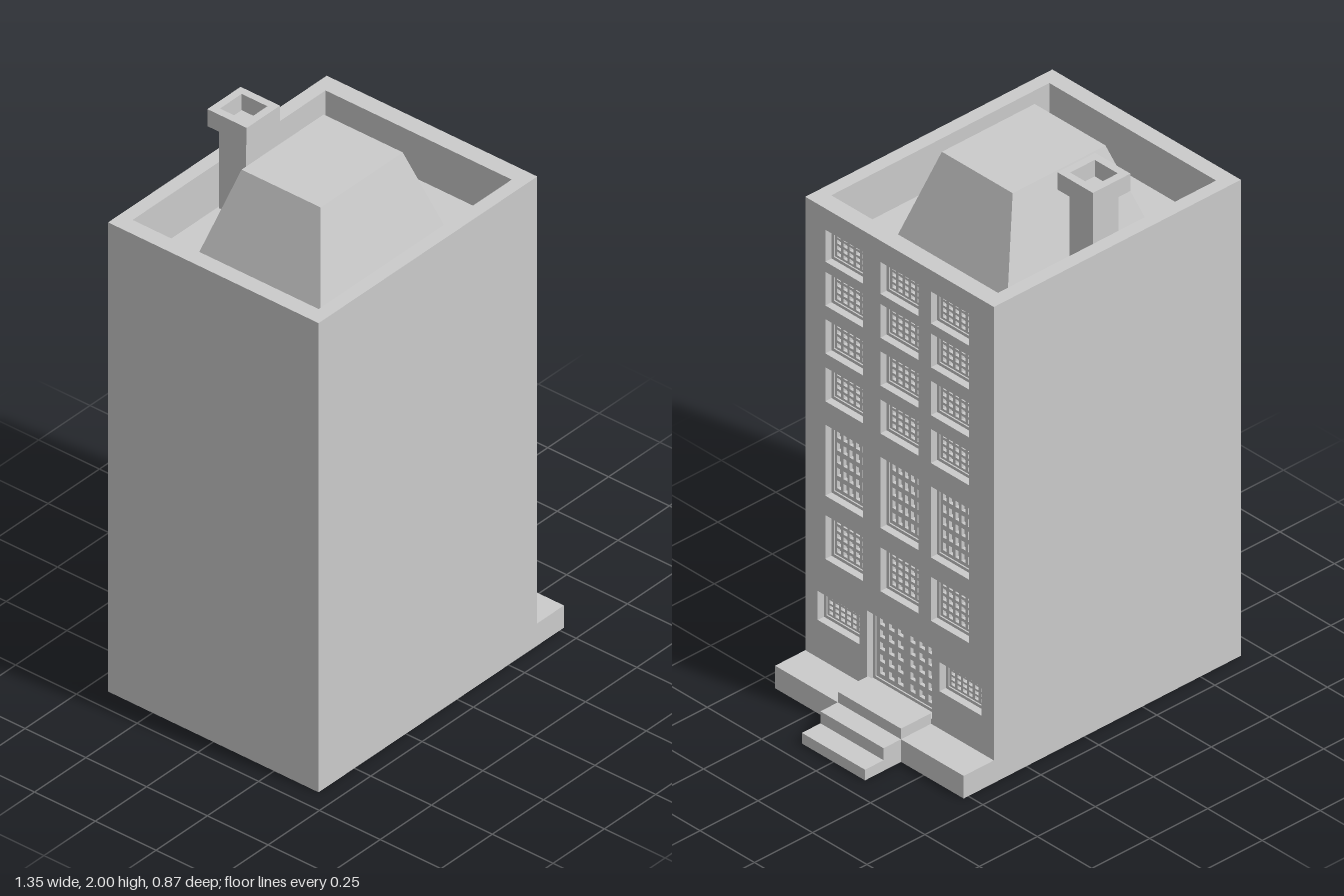
import * as THREE from 'three';

const material = new THREE.MeshStandardMaterial({ color: 0xcccccc, flatShading: true });

function add(parent, name, geometry) {
  const mesh = new THREE.Mesh(geometry, material);
  mesh.name = name;
  parent.add(mesh);
  return mesh;
}

// Box given by its minimum and maximum along each axis
function block(parent, name, [x0, x1], [y0, y1], [z0, z1]) {
  const g = new THREE.BoxGeometry(x1 - x0, y1 - y0, z1 - z0);
  g.translate((x0 + x1) / 2, (y0 + y1) / 2, (z0 + z1) / 2);
  return add(parent, name, g);
}

function rect(PathType, u0, u1, v0, v1) {
  return new PathType([[u0, v0], [u1, v0], [u1, v1], [u0, v1]].map(p => new THREE.Vector2(...p)));
}

// Rectangle with rectangular holes, each rectangle being [u0, u1, v0, v1]
function pierced(outer, holes, depth) {
  const shape = rect(THREE.Shape, ...outer);
  shape.holes = holes.map(h => rect(THREE.Path, ...h));
  return new THREE.ExtrudeGeometry(shape, { depth, bevelEnabled: false });
}

// Upright panel facing +x (u runs towards -z)
const facing = (outer, holes, depth, x) => pierced(outer, holes, depth).rotateY(Math.PI / 2).translate(x, 0, 0);
// Level ring lying on height y (u is x, v is z)
const level = (outer, holes, depth, y) => pierced(outer, holes, depth).rotateX(Math.PI / 2).translate(0, y + depth, 0);

const inset = ([a, b, c, d], t) => [a + t, b - t, c + t, d - t];

// Evenly spaced panes inside a rectangle
function panes([u0, u1, v0, v1], cols, rows, fill) {
  const list = [], w = (u1 - u0) / cols, h = (v1 - v0) / rows;
  for (let i = 0; i < cols; i++) {
    for (let j = 0; j < rows; j++) {
      const u = u0 + (i + 0.5) * w, v = v0 + (j + 0.5) * h;
      list.push([u - w * fill / 2, u + w * fill / 2, v - h * fill / 2, v + h * fill / 2]);
    }
  }
  return list;
}

export function createModel() {
  const model = new THREE.Group();
  model.name = 'townhouse';
  const left = -0.675, right = 0.39, half = 0.433, top = 1.79, deck = 1.62, back = 0.345;

  // Solid body and parapet around the sunken roof deck
  block(model, 'body', [left, back], [0, deck], [-half, half]);
  add(model, 'parapet', level([left, back, -half, half], [[-0.615, 0.325, -0.383, 0.383]], top - deck, deck));

  // Window openings: floors by columns, then the basement pair
  const openings = [];
  const floors = [[1.59, 1.71, 4], [1.425, 1.552, 4], [1.245, 1.374, 4], [1.065, 1.193, 4], [0.71, 0.977, 5], [0.472, 0.637, 5]];
  for (const [y0, y1, rows] of floors) {
    for (const u of [-0.254, -0.001, 0.231]) {
      openings.push({ area: [u - 0.087, u + 0.087, y0, y1], cols: 5, rows });
    }
  }
  for (const s of [-1, 1]) openings.push({ area: [s * 0.28 - 0.096, s * 0.28 + 0.096, 0.226, 0.335], cols: 6, rows: 4 });
  const doorArea = [-0.15, 0.15, 0.105, 0.37];

  // Facade with recessed openings
  const holes = [...openings.map(o => o.area), doorArea];
  add(model, 'facade', facing([-half, half, 0, top], holes, right - back, back));

  // Windows: rim plus pane lattice
  const windows = new THREE.Group();
  windows.name = 'windows';
  model.add(windows);
  for (const { area, cols, rows } of openings) {
    const inner = inset(area, 0.011);
    add(windows, 'windowRim', facing(area, [inner], 0.018, back));
    add(windows, 'windowLattice', facing(inner, panes(inset(inner, 0.004), cols, rows, 0.62), 0.013, back));
  }

  // Double door: rim and two latticed leaves
  const door = new THREE.Group();
  door.name = 'door';
  model.add(door);
  const doorInner = inset(doorArea, 0.011);
  add(door, 'doorRim', facing(doorArea, [doorInner], 0.018, back));
  for (const s of [-1, 1]) {
    const leaf = s < 0 ? [doorInner[0], -0.001, doorInner[2], doorInner[3]] : [0.001, doorInner[1], doorInner[2], doorInner[3]];
    add(door, 'doorLeaf', facing(leaf, panes(inset(leaf, 0.006), 3, 5, 0.58), 0.013, back));
  }

  // Terrace and entrance steps
  const stepZ = [-0.145, 0.145];
  block(model, 'terrace', [right, 0.52], [0, 0.085], [-half, half]);
  block(model, 'topStep', [right, 0.52], [0.085, 0.125], stepZ);
  block(model, 'middleStep', [0.52, 0.595], [0.04, 0.085], stepZ);
  block(model, 'bottomStep', [0.52, 0.675], [0, 0.04], stepZ);

  // Truncated hipped roof: the top corners are drawn inwards
  const hip = new THREE.BoxGeometry(0.62, 1.938 - deck, 0.51);
  const p = hip.attributes.position;
  for (let i = 0; i < p.count; i++) {
    if (p.getY(i) > 0) p.setXYZ(i, p.getX(i) * 0.4 / 0.62, p.getY(i), p.getZ(i) * 0.325 / 0.51);
  }
  hip.computeVertexNormals();
  add(model, 'hippedRoof', hip).position.set(-0.145, (1.938 + deck) / 2, 0);

  // Chimney with a hollow cap
  block(model, 'chimneyShaft', [-0.201, -0.091], [deck, 1.938], [-0.377, -0.267]);
  add(model, 'chimneyCap', level([-0.227, -0.065, -0.403, -0.241], [[-0.199, -0.093, -0.375, -0.269]], 0.065, 1.935));

  return model;
}
